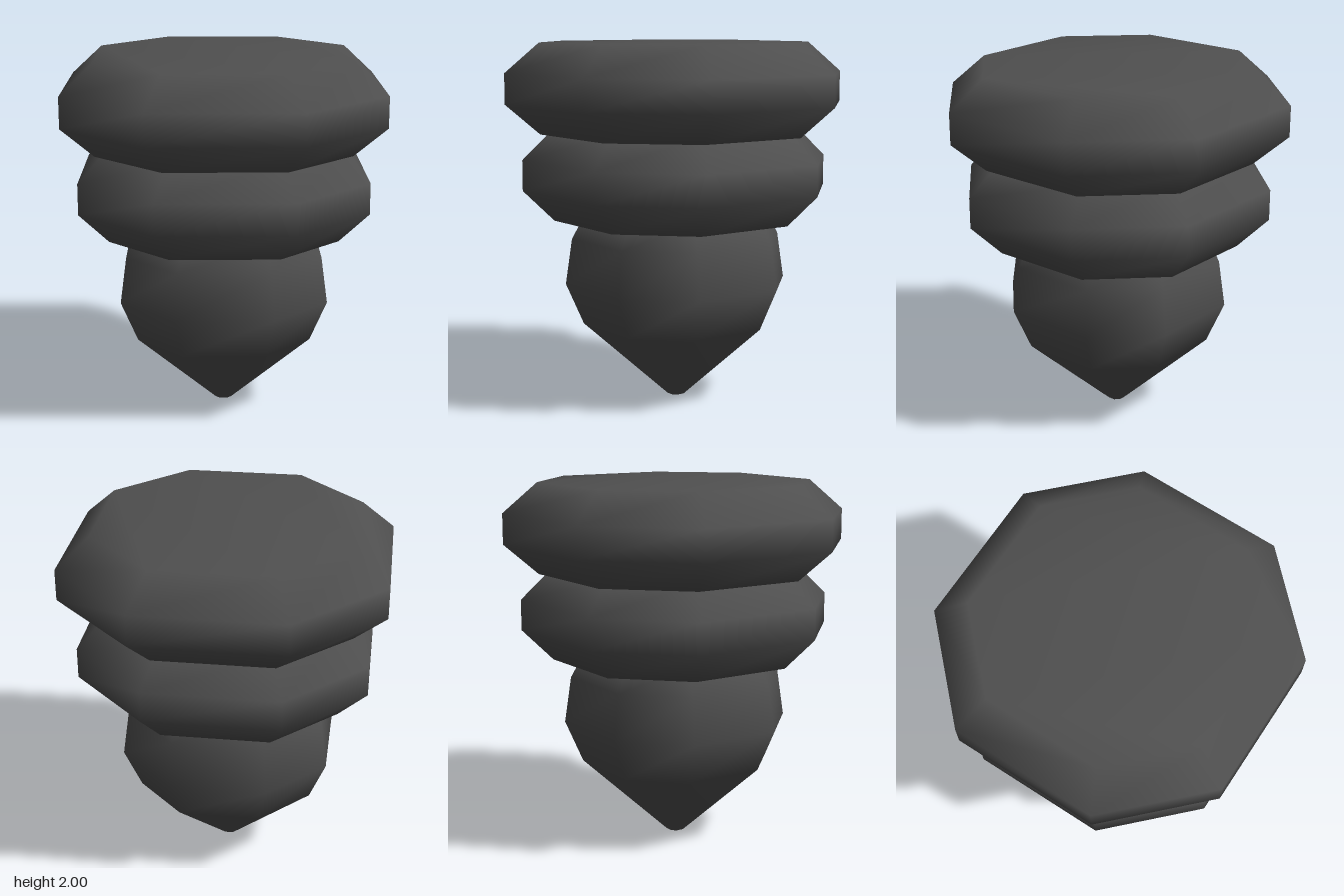
import * as THREE from 'three';

// Unit octagon with flats on the axes and slightly long diagonals, ordered by rising angle
const H = 0.365;
const OCT = [[1, -H], [1, H], [H, 1], [-H, 1], [-1, H], [-1, -H], [-H, -1], [H, -1]];
// Cap split into strips so the smooth normals blend evenly
const CAP = [[0, 1, 2], [0, 2, 7], [7, 2, 3], [7, 3, 6], [6, 3, 4], [6, 4, 5]];

// Closed solid through octagonal rings given as [halfWidth, y], bottom to top
function octSolid(name, rings, material) {
  const positions = [], index = [];
  for (const [r, y] of rings) for (const [x, z] of OCT) positions.push(x * r, y, z * r);
  for (let k = 0; k < rings.length - 1; k++) {
    for (let i = 0; i < 8; i++) {
      const j = (i + 1) % 8;
      const a = k * 8 + i, b = k * 8 + j, c = a + 8, d = b + 8;
      index.push(a, c, b, b, c, d);
    }
  }
  const top = (rings.length - 1) * 8;
  for (const [a, b, c] of CAP) {
    index.push(a, b, c);
    index.push(top + a, top + c, top + b);
  }
  const geometry = new THREE.BufferGeometry();
  geometry.setAttribute('position', new THREE.Float32BufferAttribute(positions, 3));
  geometry.setIndex(index);
  geometry.computeVertexNormals();
  const mesh = new THREE.Mesh(geometry, material);
  mesh.name = name;
  return mesh;
}

export function createModel() {
  const group = new THREE.Group();
  group.name = 'tieredFinial';
  const darkGrey = new THREE.MeshStandardMaterial({ color: 0x505050 });
  darkGrey.name = 'darkGrey';

  // Pointed bulb, its top tucked into the collar
  group.add(octSolid('pointedBulb',
    [[0.047, 0], [0.497, 0.43], [0.59, 0.66], [0.555, 0.915], [0.48, 1.06]], darkGrey));
  // Two stacked bevelled discs
  group.add(octSolid('lowerDisc',
    [[0.645, 1.02], [0.807, 1.19], [0.807, 1.36], [0.645, 1.53]], darkGrey));
  group.add(octSolid('upperDisc',
    [[0.712, 1.5], [0.891, 1.665], [0.891, 1.835], [0.712, 2]], darkGrey));
  return group;
}
